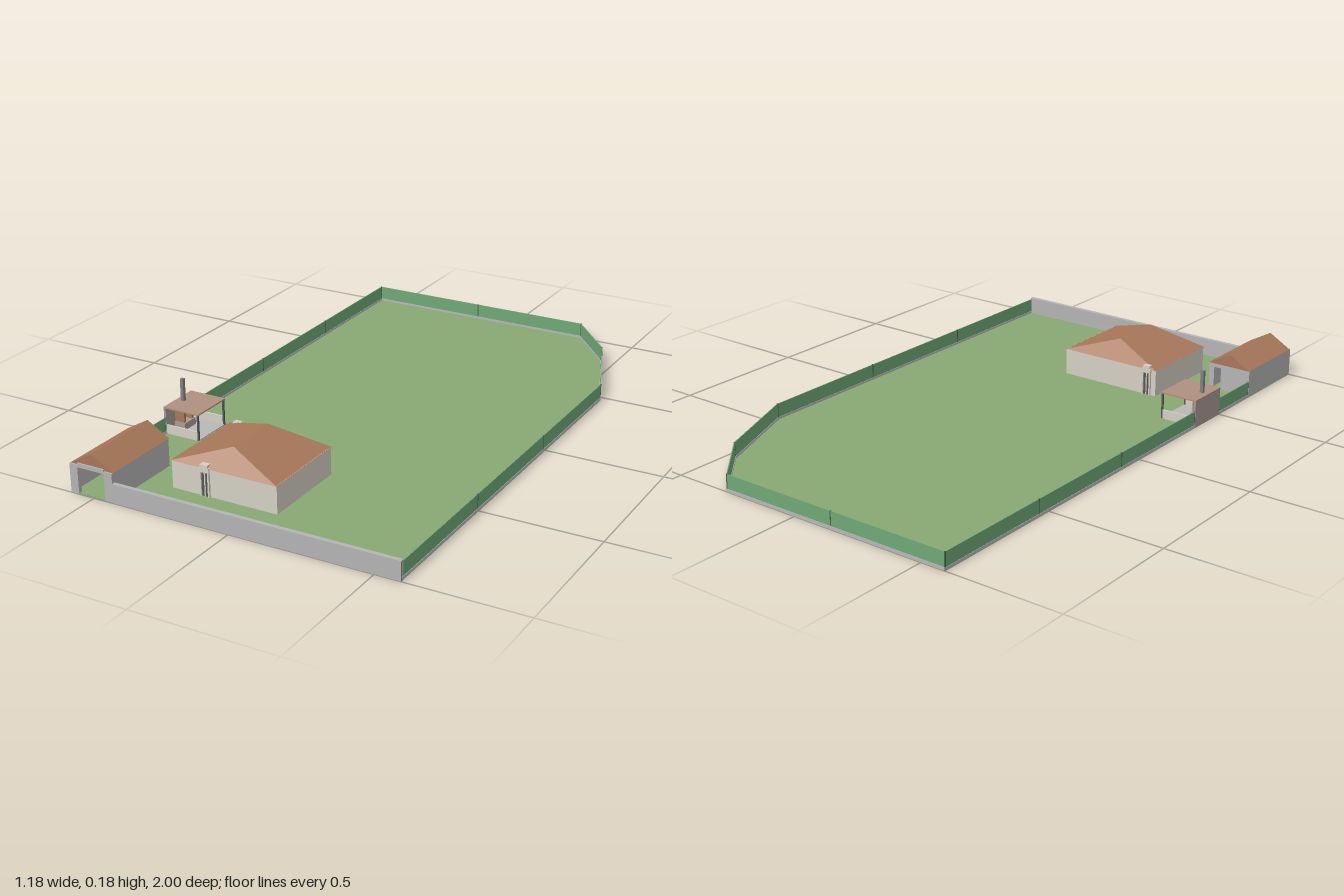
import * as THREE from 'three';

const mat = (color) => new THREE.MeshStandardMaterial({ color, flatShading: true });
const M = {
  grass: mat(0x87a873), fence: mat(0x6fa877), post: mat(0x46664c), kerb: mat(0xb8b8b8),
  grey: mat(0xb4b4b4), plaster: mat(0xd4d0c4), roof: mat(0xa8785a), shedRoof: mat(0xb09080),
  brick: mat(0xa89a94), dark: mat(0x555555), metal: mat(0x808080),
};

// Box given by its limits on each axis
function box(parent, name, material, x0, x1, y0, y1, z0, z1) {
  const mesh = new THREE.Mesh(new THREE.BoxGeometry(x1 - x0, y1 - y0, z1 - z0), material);
  mesh.position.set((x0 + x1) / 2, (y0 + y1) / 2, (z0 + z1) / 2);
  mesh.name = name;
  parent.add(mesh);
  return mesh;
}

// Pitched roof with its ridge along z; hip > 0 pulls the ridge ends inwards
function pitchedRoof(parent, name, material, x0, x1, z0, z1, y0, y1, hip) {
  const xm = (x0 + x1) / 2;
  const geo = new THREE.BufferGeometry();
  geo.setAttribute('position', new THREE.Float32BufferAttribute([
    x0, y0, z0, x1, y0, z0, x1, y0, z1, x0, y0, z1, xm, y1, z0 + hip, xm, y1, z1 - hip], 3));
  geo.setIndex([1, 0, 4, 3, 2, 5, 2, 1, 4, 2, 4, 5, 0, 3, 5, 0, 5, 4, 0, 1, 2, 0, 2, 3]);
  const flat = geo.toNonIndexed();
  flat.computeVertexNormals();
  const mesh = new THREE.Mesh(flat, material);
  mesh.name = name;
  parent.add(mesh);
}

function group(parent, name) {
  const g = new THREE.Group();
  g.name = name;
  parent.add(g);
  return g;
}

// Straight fence run: kerb, green panel and thin posts at the joints
function fenceRun(parent, [ax, az], [bx, bz]) {
  const run = group(parent, 'fenceRun');
  const len = Math.hypot(bx - ax, bz - az);
  run.position.set(ax, 0, az);
  run.rotation.y = Math.atan2(-(bz - az), bx - ax);
  box(run, 'kerb', M.kerb, 0, len, 0, 0.011, -0.003, 0.003);
  box(run, 'fencePanel', M.fence, 0, len, 0.011, 0.06, -0.0015, 0.0015);
  const n = Math.max(1, Math.round(len / 0.45));
  for (let i = 0; i <= n; i++) {
    const x = (len * i) / n;
    box(run, 'fencePost', M.post, x - 0.002, x + 0.002, 0, 0.061, -0.002, 0.002);
  }
}

// Door surround with two jambs and a small gabled canopy; dir is the outward z direction
function doorway(parent, name, x, z, dir) {
  const g = group(parent, name);
  g.position.set(x, 0, z);
  if (dir < 0) g.rotation.y = Math.PI;
  box(g, 'door', M.dark, -0.012, 0.012, 0.003, 0.085, -0.002, 0.002);
  for (const s of [-1, 1]) {
    box(g, 'jamb', M.plaster, s * 0.015 - 0.003, s * 0.015 + 0.003, 0, 0.088, 0, 0.007);
  }
  box(g, 'doorMullion', M.plaster, -0.002, 0.002, 0, 0.085, 0, 0.004);
  box(g, 'lintel', M.plaster, -0.018, 0.018, 0.086, 0.103, -0.008, 0.007);
  box(g, 'canopy', M.plaster, -0.014, 0.014, 0.103, 0.113, -0.013, 0.007);
}

export function createModel() {
  const model = new THREE.Group();
  model.name = 'walledGarden';

  // Lawn with one chamfered back corner
  const corners = [[-0.425, 0.997], [0.585, 0.997], [0.585, -0.475], [0.455, -0.805], [0.29, -0.997], [-0.587, -0.997], [-0.587, 0.997]];
  const shape = new THREE.Shape(corners.map(([x, z]) => new THREE.Vector2(x, -z)));
  const lawnGeo = new THREE.ExtrudeGeometry(shape, { depth: 0.003, bevelEnabled: false });
  lawnGeo.rotateX(-Math.PI / 2);
  const lawn = new THREE.Mesh(lawnGeo, M.grass);
  lawn.name = 'lawn';
  model.add(lawn);

  // Boundary
  const fence = group(model, 'fence');
  for (let i = 1; i < 5; i++) fenceRun(fence, corners[i], corners[i + 1]);
  fenceRun(fence, [-0.587, -0.997], [-0.587, 0.34]);
  fenceRun(fence, [-0.587, 0.5], [-0.587, 0.7]);
  box(model, 'frontWall', M.grey, -0.427, 0.587, 0, 0.066, 0.985, 1);

  // House
  const house = group(model, 'house');
  box(house, 'houseWalls', M.plaster, -0.325, 0.063, 0, 0.1, 0.502, 0.824);
  pitchedRoof(house, 'houseRoof', M.roof, -0.328, 0.065, 0.499, 0.827, 0.099, 0.163, 0.065);
  doorway(house, 'frontDoorway', -0.2, 0.824, 1);
  doorway(house, 'backDoorway', -0.288, 0.502, -1);

  // Garage: open front, small doorway in the back wall
  const garage = group(model, 'garage');
  box(garage, 'outerWall', M.grey, -0.59, -0.582, 0, 0.1, 0.7, 0.996);
  box(garage, 'innerWall', M.grey, -0.435, -0.427, 0, 0.1, 0.7, 0.996);
  box(garage, 'frontPier', M.grey, -0.59, -0.56, 0, 0.1, 0.984, 0.998);
  box(garage, 'frontPier', M.grey, -0.458, -0.427, 0, 0.1, 0.984, 0.998);
  box(garage, 'frontLintel', M.grey, -0.56, -0.458, 0.092, 0.106, 0.984, 0.998);
  box(garage, 'backWall', M.grey, -0.582, -0.475, 0, 0.1, 0.7, 0.708);
  box(garage, 'backWallPier', M.grey, -0.447, -0.435, 0, 0.1, 0.7, 0.708);
  box(garage, 'backLintel', M.grey, -0.475, -0.447, 0.085, 0.1, 0.7, 0.708);
  pitchedRoof(garage, 'garageRoof', M.roof, -0.59, -0.426, 0.697, 0.992, 0.1, 0.147, 0);

  // Garden shelter with fireplace
  const shelter = group(model, 'shelter');
  box(shelter, 'shelterFloor', M.kerb, -0.587, -0.452, 0, 0.006, 0.343, 0.498);
  box(shelter, 'shelterBackWall', M.brick, -0.59, -0.582, 0, 0.095, 0.34, 0.5);
  box(shelter, 'shelterRoof', M.shedRoof, -0.59, -0.45, 0.095, 0.1, 0.34, 0.5);
  for (const z of [0.345, 0.495]) {
    box(shelter, 'shelterPost', M.dark, -0.458, -0.452, 0, 0.095, z - 0.003, z + 0.003);
    box(shelter, 'lowWall', M.plaster, -0.582, -0.458, 0, 0.035, z - 0.003, z + 0.003);
  }
  // Fireplace hollow between its two cheeks
  for (const z of [0.4, 0.443]) box(shelter, 'fireplaceCheek', M.roof, -0.582, -0.545, 0.03, 0.06, z - 0.005, z + 0.005);
  box(shelter, 'fireplaceBase', M.brick, -0.582, -0.54, 0.006, 0.03, 0.39, 0.453);
  box(shelter, 'fireplaceHood', M.roof, -0.582, -0.545, 0.06, 0.075, 0.395, 0.448);
  box(shelter, 'fireplaceBack', M.dark, -0.582, -0.578, 0.03, 0.06, 0.405, 0.438);
  box(shelter, 'chimney', M.metal, -0.57, -0.558, 0.075, 0.18, 0.416, 0.428);

  return model;
}
